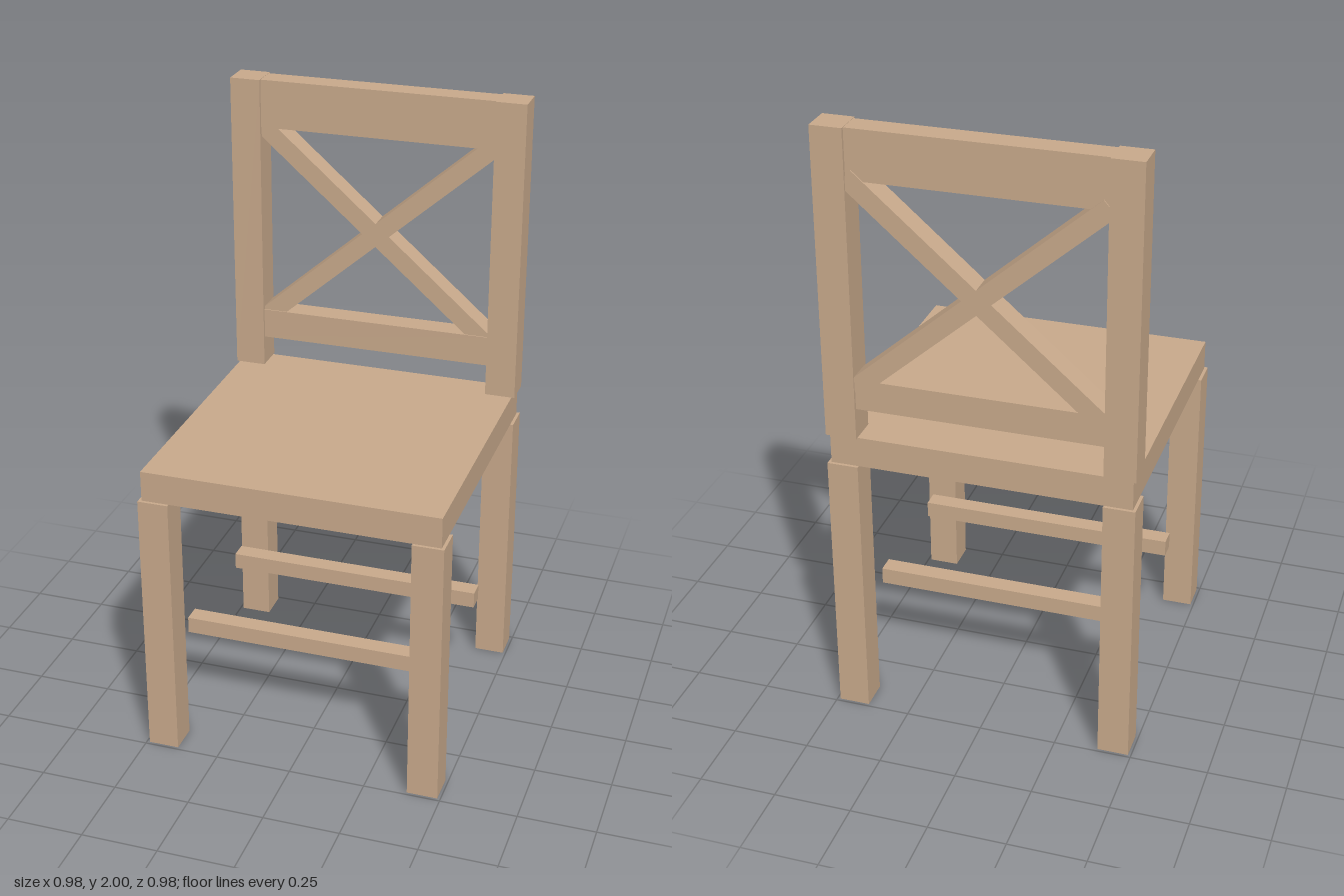
import * as THREE from 'three';

export function createModel() {
  const chair = new THREE.Group();
  chair.name = 'chair';
  const wood = new THREE.MeshStandardMaterial({ color: 0xc9aa8c });
  wood.name = 'light wood';

  // A straight timber of the given size, placed by its centre
  function timber(name, [w, h, d], [x, y, z]) {
    const mesh = new THREE.Mesh(new THREE.BoxGeometry(w, h, d), wood);
    mesh.name = name;
    mesh.position.set(x, y, z);
    chair.add(mesh);
    return mesh;
  }

  timber('seat', [0.96, 0.1, 0.96], [0, 0.95, 0]);

  // Legs and back posts, mirrored left and right
  for (const [side, s] of [['left', 1], ['right', -1]]) {
    timber(side + 'FrontLeg', [0.1, 0.9, 0.1], [s * 0.44, 0.45, 0.44]);
    timber(side + 'BackLeg', [0.1, 0.9, 0.1], [s * 0.44, 0.45, -0.44]);
    timber(side + 'BackPost', [0.1, 1, 0.1], [s * 0.44, 1.5, -0.44]);
  }

  // Back rest rails, let into the posts
  timber('topRail', [0.8, 0.158, 0.08], [0, 1.92, -0.44]);
  timber('lowerRail', [0.8, 0.1, 0.08], [0, 1.15, -0.44]);

  // Crossed braces between the rails, slightly proud at the back
  for (const [side, s] of [['left', 1], ['right', -1]]) {
    const brace = timber(side + 'CrossBrace', [1.04, 0.06, 0.08], [0, 1.51, -0.444]);
    brace.rotation.z = s * THREE.MathUtils.degToRad(41);
  }

  // Floating stretchers between the legs
  timber('frontStretcher', [0.86, 0.055, 0.06], [0, 0.333, 0.24]);
  timber('backStretcher', [0.86, 0.055, 0.06], [0, 0.333, -0.2]);

  return chair;
}
